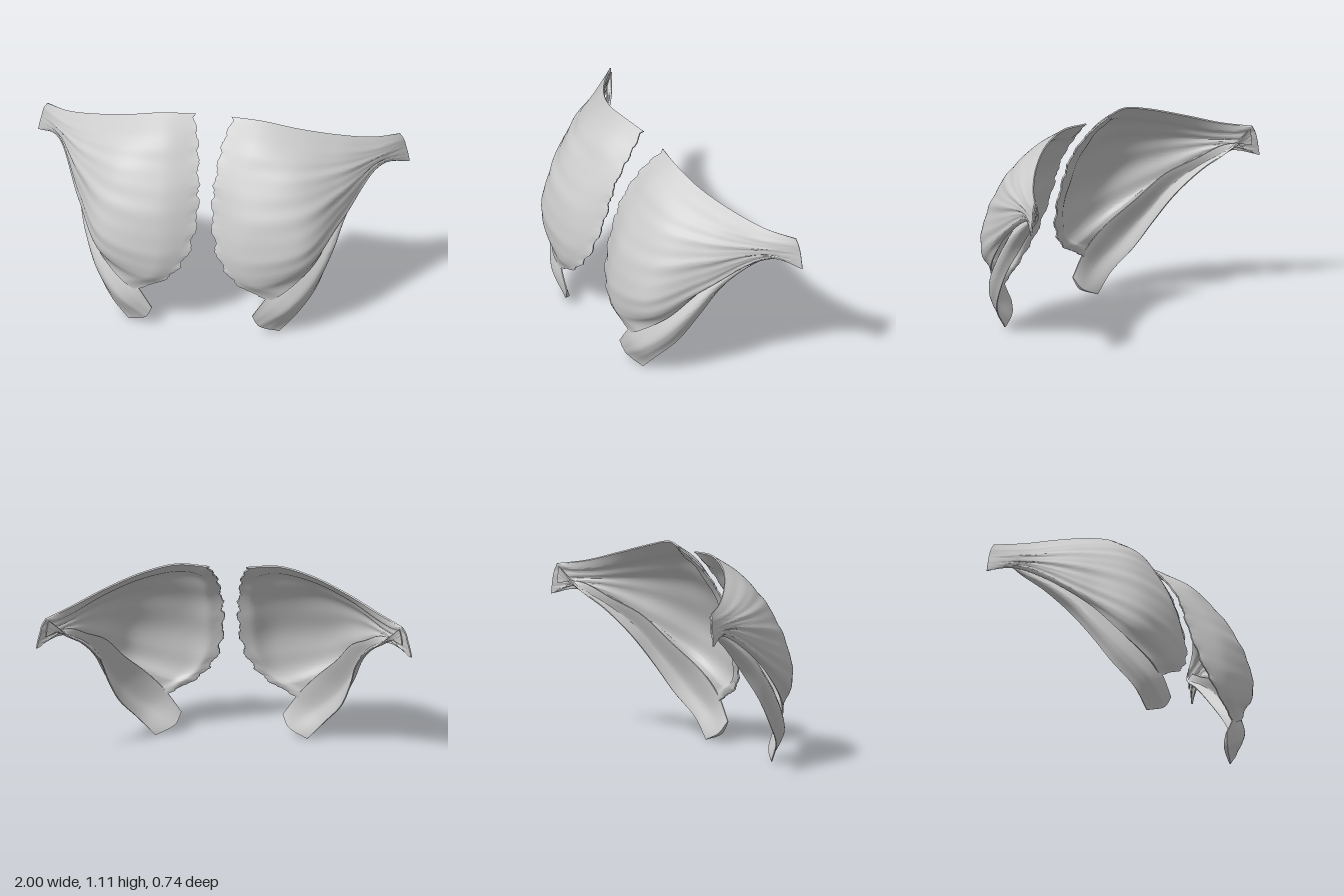
import * as THREE from 'three';
import { toCreasedNormals } from 'three/addons/utils/BufferGeometryUtils.js';

// Fibres of the chest fan, top to bottom, each running from breastbone to arm
const FAN = [
  [[.10, 1.11, -.04], [.27, 1.112, -.02], [.45, 1.07, -.045], [.65, 1.005, -.13], [.82, .945, -.24], [.95, .915, -.35]],
  [[.065, 1.0, .07], [.25, 1.02, .115], [.47, .99, .085], [.67, .94, -.03], [.84, .89, -.20], [.97, .88, -.355]],
  [[.045, .86, .17], [.24, .87, .215], [.48, .88, .19], [.69, .87, .03], [.86, .85, -.20], [.98, .84, -.36]],
  [[.035, .68, .235], [.25, .68, .315], [.515, .72, .27], [.705, .78, .07], [.86, .82, -.20], [.99, .80, -.36]],
  [[.07, .47, .30], [.24, .47, .362], [.535, .54, .322], [.705, .67, .085], [.86, .80, -.205], [.995, .775, -.36]],
  [[.17, .32, .335], [.29, .325, .36], [.55, .42, .305], [.707, .595, .075], [.865, .785, -.22], [.998, .758, -.36]],
  [[.36, .21, .32], [.44, .265, .315], [.585, .40, .22], [.70, .607, .03], [.875, .778, -.25], [1.0, .747, -.36]],
];

// Lower band: rear edge, crest and front edge (tucked under the fan), from arm to belly
const BAND = [
  [[.93, .90, -.352], [.825, .785, -.28], [.745, .685, -.17], [.68, .55, -.05], [.645, .39, .07], [.59, .235, .167], [.50, .11, .247], [.405, .003, .268]],
  [[.94, .86, -.352], [.85, .785, -.27], [.775, .695, -.13], [.718, .585, 0], [.665, .435, .122], [.575, .275, .24], [.455, .155, .312], [.305, .048, .314]],
  [[.945, .81, -.352], [.84, .825, -.262], [.74, .745, -.13], [.655, .66, .005], [.565, .51, .142], [.448, .36, .268], [.35, .235, .32], [.27, .115, .332]],
];

function seeded(seed) {
  return () => {
    seed = (seed * 16807) % 2147483647;
    return seed / 2147483647;
  };
}

// Smooth grid of points through the given rows
function loft(rows, nu, nv) {
  const curves = rows.map(r => new THREE.CatmullRomCurve3(r.map(p => new THREE.Vector3(...p))));
  const grid = [];
  for (let i = 0; i <= nu; i++) {
    const across = new THREE.CatmullRomCurve3(curves.map(c => c.getPoint(i / nu)));
    for (let j = 0; j <= nv; j++) grid.push(across.getPoint(j / nv));
  }
  return grid;
}

// Closed shell: outer skin, inner skin set back along the normals, and a rim.
// relief(u, v) raises the outer skin; thickness(u, v) sets the inner one.
function shell(rows, nu, nv, side, relief, thickness, ragged) {
  const grid = loft(rows, nu, nv);
  const w = nv + 1, count = grid.length;
  const rand = seeded(41);
  // Uneven starting edge, fading over the first few columns
  for (let j = 0; j <= nv; j++) {
    const shift = (rand() * .6 + .4 * Math.sin(j * .7) - .2) * ragged;
    for (let i = 0; i < 3; i++) grid[i * w + j].x += shift * (1 - i / 3);
  }
  const faces = [];
  const quad = (a, b, c, d) => faces.push(a, b, c, a, c, d);
  for (let i = 0; i < nu; i++) {
    for (let j = 0; j < nv; j++) {
      const a = i * w + j;
      quad(a, a + 1, a + w + 1, a + w);
    }
  }
  const skin = new THREE.BufferGeometry().setFromPoints(grid);
  skin.setIndex(faces.slice());
  skin.computeVertexNormals();

  const outer = [], inner = [];
  const n = new THREE.Vector3();
  grid.forEach((p, k) => {
    const u = Math.floor(k / w) / nu, v = (k % w) / nv;
    n.fromBufferAttribute(skin.attributes.normal, k);
    outer.push(p.clone().addScaledVector(n, relief(u, v)));
    inner.push(p.clone().addScaledVector(n, -thickness(u, v)));
  });

  for (let i = 0; i < nu; i++) {
    for (let j = 0; j < nv; j++) {
      const a = count + i * w + j;
      quad(a, a + w, a + w + 1, a + 1);
    }
    const top = i * w, low = i * w + nv;
    quad(top, top + w, top + w + count, top + count);
    quad(low + w, low, low + count, low + w + count);
  }
  for (let j = 0; j < nv; j++) {
    const end = nu * w + j;
    quad(j + 1, j, j + count, j + 1 + count);
    quad(end, end + 1, end + 1 + count, end + count);
  }
  // Mirrored side: negate x and turn the faces round
  const points = [...outer, ...inner];
  if (side < 0) {
    points.forEach(p => { p.x = -p.x; });
    faces.reverse();
  }
  const g = new THREE.BufferGeometry().setFromPoints(points);
  g.setIndex(faces);
  return toCreasedNormals(g, 1.0);
}

// Fibre grooves gather strength toward the arm and fade at the edges
function fanRelief(u, v) {
  const fade = Math.sin(Math.PI * u) * Math.sin(Math.PI * v);
  const grooves = Math.sin(v * 38 + 2 * u) + .6 * Math.sin(v * 67 - 3 * u);
  return .003 * fade * grooves * (.4 + u);
}

// Thin at every edge, with a soft roll just inside the breastbone edge
function fanThickness(u, v) {
  const edge = Math.min(u / .06, (1 - u) / .1, (1 - v) / .1, v / .1, 1);
  const roll = Math.exp(-Math.pow((u - .07) / .04, 2)) * .005;
  return .008 + edge * (.018 + roll + .003 * Math.sin(v * 30));
}

function bandRelief(u, v) {
  return .001 * Math.sin(Math.PI * v) * Math.sin(v * 22 + u * 3);
}

function bandThickness(u, v) {
  return .006 + .016 * Math.sin(Math.PI * v) * Math.min(1, u / .1);
}

export function createModel() {
  const model = new THREE.Group();
  const material = new THREE.MeshStandardMaterial({ color: 0xcccccc, side: THREE.DoubleSide });

  for (const side of [1, -1]) {
    const half = new THREE.Group();
    half.name = side > 0 ? 'leftChestMuscle' : 'rightChestMuscle';

    const fan = new THREE.Mesh(shell(FAN, 60, 90, side, fanRelief, fanThickness, .018), material);
    fan.name = 'fanSheet';

    const band = new THREE.Mesh(shell(BAND, 60, 20, side, bandRelief, bandThickness, 0), material);
    band.name = 'lowerBand';

    half.add(fan, band);
    model.add(half);
  }
  return model;
}
